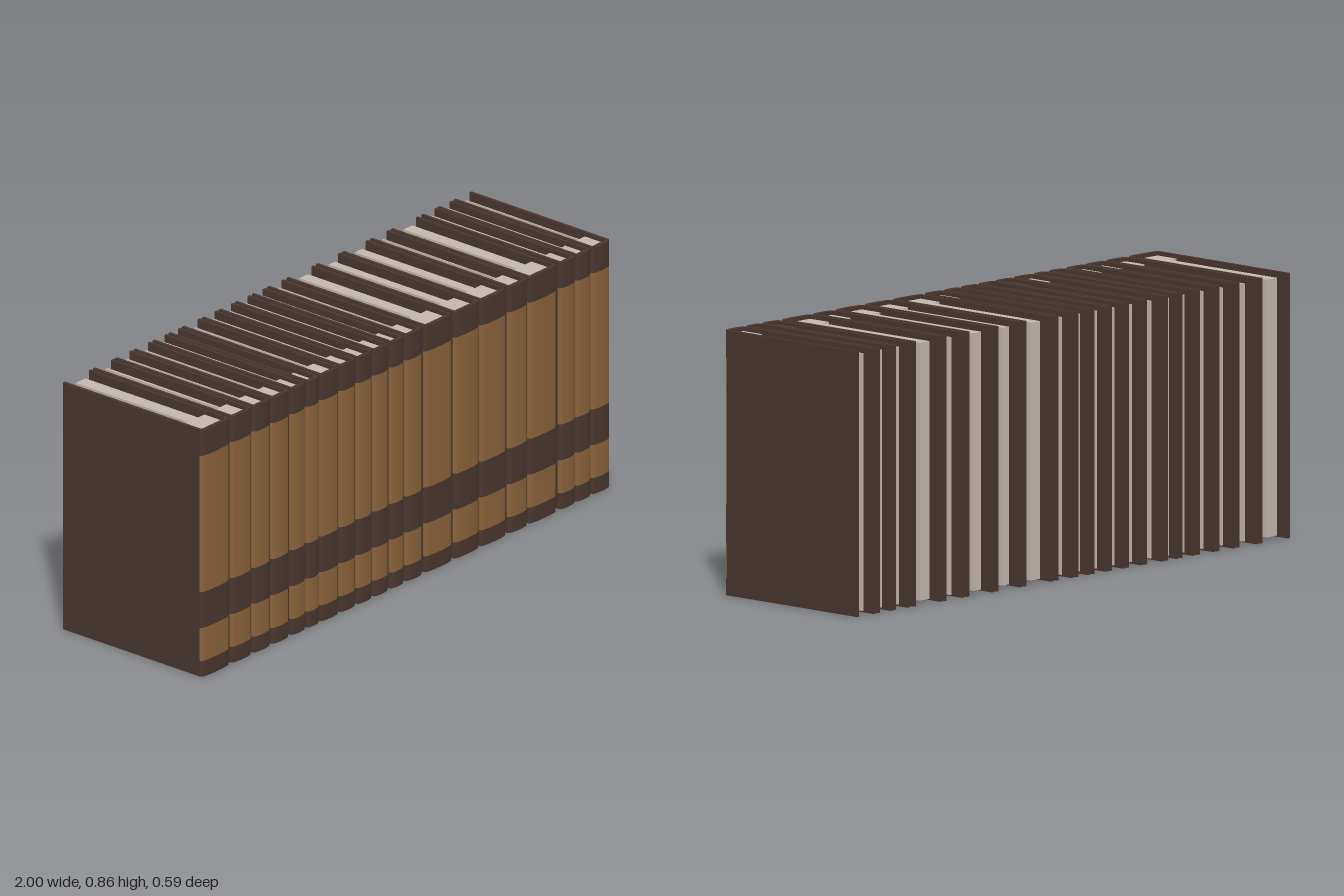
import * as THREE from 'three';

const H = 0.86, BACK = -0.295, JOINT = 0.28, FRONT = 0.295, BOARD = 0.011;

// left edge and right edge of every book along x
const BOOKS = [
  [-1, -0.862], [-0.853, -0.754], [-0.746, -0.663], [-0.655, -0.572], [-0.561, -0.492],
  [-0.484, -0.425], [-0.417, -0.329], [-0.321, -0.246], [-0.238, -0.166], [-0.158, -0.086],
  [-0.075, -0.011], [0, 0.08], [0.094, 0.227], [0.238, 0.358], [0.366, 0.492],
  [0.503, 0.596], [0.604, 0.738], [0.754, 0.829], [0.834, 0.904], [0.912, 1],
];

// spine bands from bottom to top: start, end, colour
const BANDS = [
  [0, 0.055, 'leather'], [0.055, 0.17, 'tan'], [0.17, 0.295, 'leather'],
  [0.295, 0.77, 'tan'], [0.77, H, 'leather'],
];

export function createModel() {
  const group = new THREE.Group();
  group.name = 'bookRow';
  const mats = {
    leather: new THREE.MeshStandardMaterial({ color: 0x48362e }),
    tan: new THREE.MeshStandardMaterial({ color: 0x89623b }),
    paper: new THREE.MeshStandardMaterial({ color: 0xc4b8ac }),
  };
  for (const k in mats) mats[k].name = k;

  const add = (parent, name, geo, mat) => {
    const mesh = new THREE.Mesh(geo, mats[mat]);
    mesh.name = name;
    parent.add(mesh);
    return mesh;
  };
  const box = (parent, name, mat, x, w, y0, y1, z0, z1) =>
    add(parent, name, new THREE.BoxGeometry(w, y1 - y0, z1 - z0), mat)
      .position.set(x, (y0 + y1) / 2, (z0 + z1) / 2);

  BOOKS.forEach(([x0, x1], i) => {
    const book = new THREE.Group();
    book.name = `book${i + 1}`;
    book.position.x = (x0 + x1) / 2;
    group.add(book);
    const w = x1 - x0, h = w / 2;

    // boards
    for (const s of [-1, 1]) {
      box(book, s < 0 ? 'rightBoard' : 'leftBoard', 'leather',
        s * (h - BOARD / 2), BOARD, 0, H, BACK, JOINT);
    }

    // rounded spine cross-section (shape y is minus z)
    const r = Math.min(0.02, h * 0.4);
    const spine = new THREE.Shape();
    spine.moveTo(-h, -JOINT);
    spine.quadraticCurveTo(-h, -FRONT + 0.004, -h + r, -FRONT + 0.002);
    spine.quadraticCurveTo(0, -FRONT - 0.002, h - r, -FRONT + 0.002);
    spine.quadraticCurveTo(h, -FRONT + 0.004, h, -JOINT);
    spine.closePath();
    for (const [y0, y1, mat] of BANDS) {
      const geo = new THREE.ExtrudeGeometry(spine, { depth: y1 - y0, bevelEnabled: false, curveSegments: 6 });
      geo.rotateX(-Math.PI / 2);
      add(book, 'spineBand', geo, mat).position.y = y0;
    }

    // page gathering glued behind the spine, and the narrower loose pages
    box(book, 'pageBinding', 'paper', 0, w - 2 * BOARD - 0.006, 0.012, H - 0.012, 0.195, JOINT - 0.002);
    box(book, 'pages', 'paper', 0, Math.max(0.004, w - 0.09), 0.012, H - 0.012, -0.28, 0.195);
  });
  return group;
}
